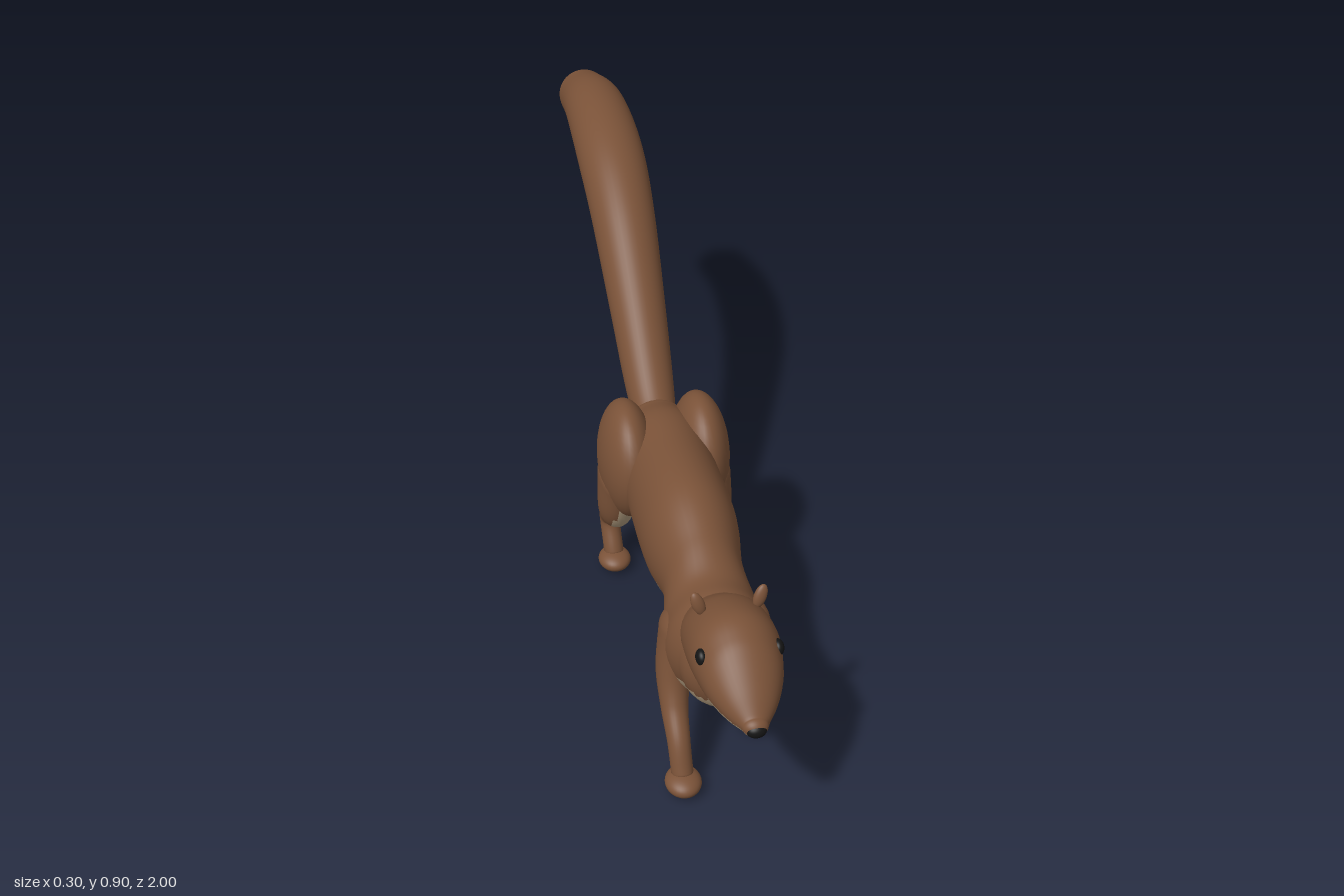
import * as THREE from 'three';

const mat = (name, color) => Object.assign(new THREE.MeshStandardMaterial({ color }), { name });

// Rounded tube through rings [x, y, z, sideRadius, otherRadius] with hemispherical ends.
// A fixed axis keeps the rings parallel; otherwise they follow the path.
function loft(rings, { steps = 48, sides = 40, axis = null, capA = 1, capB = 1 } = {}) {
  const path = new THREE.CatmullRomCurve3(rings.map(r => new THREE.Vector3(r[0], r[1], r[2])), false, 'catmullrom');
  const size = new THREE.CatmullRomCurve3(rings.map(r => new THREE.Vector3(r[3], r[4], 0)), false, 'catmullrom');
  const X = new THREE.Vector3(1, 0, 0);
  const pos = [], idx = [];
  let count = 0;
  const ring = (t, shift, scale) => {
    const T = axis ? axis.clone() : path.getTangent(t);
    const U = T.clone().cross(X).normalize();
    const s = size.getPoint(t);
    const c = path.getPoint(t).addScaledVector(T, shift * Math.min(s.x, s.y));
    for (let j = 0; j < sides; j++) {
      const a = j / sides * Math.PI * 2;
      const p = c.clone()
        .addScaledVector(X, Math.cos(a) * s.x * scale)
        .addScaledVector(U, Math.sin(a) * s.y * scale);
      pos.push(p.x, p.y, p.z);
    }
    count++;
  };
  const capSteps = 9;
  for (let k = 0; k < capSteps; k++) {
    const a = k / capSteps * Math.PI / 2;
    ring(0, -Math.cos(a) * capA, Math.max(Math.sin(a), 0.002));
  }
  for (let i = 0; i <= steps; i++) ring(i / steps, 0, 1);
  for (let k = capSteps - 1; k >= 0; k--) {
    const a = k / capSteps * Math.PI / 2;
    ring(1, Math.cos(a) * capB, Math.max(Math.sin(a), 0.002));
  }
  for (let i = 0; i < count - 1; i++) {
    for (let j = 0; j < sides; j++) {
      const k = (j + 1) % sides;
      const a = i * sides + j, b = i * sides + k, c = a + sides, d = b + sides;
      idx.push(a, b, c, b, d, c);
    }
  }
  const g = new THREE.BufferGeometry();
  g.setAttribute('position', new THREE.Float32BufferAttribute(pos, 3));
  g.setIndex(idx);
  g.computeVertexNormals();
  return g;
}

// Sorts the faces into two material groups: fur (0) and pale underside (1)
function splitUnderside(g, isPale) {
  const p = g.attributes.position, id = g.index.array;
  const fur = [], pale = [], tri = new THREE.Triangle();
  const n = new THREE.Vector3(), m = new THREE.Vector3();
  for (let i = 0; i < id.length; i += 3) {
    tri.setFromAttributeAndIndices(p, id[i], id[i + 1], id[i + 2]);
    tri.getNormal(n);
    tri.getMidpoint(m);
    (isPale(n, m) ? pale : fur).push(id[i], id[i + 1], id[i + 2]);
  }
  g.setIndex([...fur, ...pale]);
  g.addGroup(0, fur.length, 0);
  g.addGroup(fur.length, pale.length, 1);
  return g;
}

export function createModel() {
  const model = new THREE.Group();
  model.name = 'squirrel';
  const fur = mat('brownFur', 0x7a5238);
  const pale = mat('paleUnderside', 0xb09b7e);
  const black = mat('black', 0x141414);

  const add = (name, geometry, material) => {
    const mesh = new THREE.Mesh(geometry, material);
    mesh.name = name;
    model.add(mesh);
    return mesh;
  };
  const addFur = (name, g, isPale) => add(name, splitUnderside(g, isPale), [fur, pale]);
  const ball = (x, y, z, rx, ry, rz) =>
    new THREE.SphereGeometry(1, 32, 24).scale(rx, ry, rz).translate(x, y, z);
  const under = n => n.y < -0.38;

  // Upright sections [z, top, bottom, halfWidth]
  const section = ([z, top, bottom, w]) => [0, (top + bottom) / 2, z, w, (top - bottom) / 2];

  // Torso, from chest to rump
  addFur('torso', loft([
    [0.72, 0.405, 0.185, 0.092], [0.66, 0.415, 0.155, 0.108], [0.6, 0.415, 0.172, 0.1],
    [0.52, 0.45, 0.228, 0.086], [0.39, 0.495, 0.21, 0.104], [0.2, 0.49, 0.225, 0.104],
    [0.1, 0.485, 0.245, 0.1], [0.03, 0.465, 0.27, 0.08],
  ].map(section), { steps: 70, axis: new THREE.Vector3(0, 0, -1), capA: 0.85, capB: 0.65 }), under);

  // Head with tapering muzzle
  addFur('head', loft([
    [0.66, 0.415, 0.255, 0.078], [0.72, 0.456, 0.27, 0.088], [0.8, 0.48, 0.285, 0.091],
    [0.86, 0.466, 0.295, 0.083], [0.9, 0.44, 0.305, 0.072], [0.94, 0.405, 0.315, 0.052],
    [0.975, 0.368, 0.326, 0.026],
  ].map(section), { axis: new THREE.Vector3(0, 0, 1) }), (n, m) => under(n) || (m.z > 0.9 && m.y < 0.338));
  add('nose', ball(0, 0.345, 0.985, 0.02, 0.015, 0.015), black);

  // Tail, arching up and back
  addFur('tail', loft([
    [0, 0.4, 0.03, 0.045, 0.045], [0, 0.45, -0.055, 0.055, 0.056], [0, 0.585, -0.21, 0.065, 0.065],
    [0, 0.728, -0.39, 0.075, 0.073], [0, 0.805, -0.556, 0.08, 0.075], [0, 0.83, -0.757, 0.075, 0.071],
    [0, 0.792, -0.937, 0.064, 0.063],
  ], { steps: 60 }), under);

  for (const s of [1, -1]) {
    const side = s > 0 ? 'left' : 'right';
    const inner = (n, m) => n.y < -0.25 && n.x * s < 0.45 && m.y > 0.09;

    add(side + 'Eye', ball(s * 0.075, 0.416, 0.843, 0.012, 0.017, 0.017), black);
    const ear = add(side + 'Ear', ball(0, 0, 0, 0.013, 0.026, 0.009), fur);
    ear.position.set(s * 0.062, 0.468, 0.748);
    ear.rotation.set(-0.2, 0, -s * 0.35);

    // Haunch
    addFur(side + 'Haunch', ball(s * 0.084, 0.372, 0.1, 0.064, 0.138, 0.124),
      (n, m) => under(n) && n.x * s < 0.1);

    // Legs [x, y, z, widthRadius, depthRadius]; the left pair is mid-stride, the right spread apart
    const front = s > 0
      ? [[0.075, 0.31, 0.62, 0.042, 0.065], [0.09, 0.22, 0.63, 0.038, 0.055], [0.095, 0.16, 0.618, 0.029, 0.036],
        [0.094, 0.1, 0.607, 0.024, 0.024], [0.092, 0.04, 0.605, 0.023, 0.023]]
      : [[0.07, 0.31, 0.62, 0.042, 0.065], [0.085, 0.22, 0.64, 0.038, 0.052], [0.093, 0.155, 0.682, 0.029, 0.032],
        [0.094, 0.1, 0.733, 0.024, 0.024], [0.092, 0.04, 0.76, 0.023, 0.023]];
    const hind = s > 0
      ? [[0.098, 0.33, 0.12, 0.05, 0.09], [0.106, 0.25, 0.143, 0.042, 0.064], [0.106, 0.18, 0.142, 0.032, 0.04],
        [0.102, 0.11, 0.14, 0.025, 0.027], [0.098, 0.04, 0.155, 0.023, 0.023]]
      : [[0.098, 0.33, 0.1, 0.05, 0.09], [0.106, 0.24, 0.085, 0.042, 0.06], [0.105, 0.18, 0.03, 0.032, 0.036],
        [0.103, 0.118, -0.026, 0.024, 0.027], [0.1, 0.04, 0.005, 0.023, 0.023]];
    for (const [name, rings] of [['Front', front], ['Hind', hind]]) {
      const mirrored = rings.map(([x, ...rest]) => [x * s, ...rest]);
      addFur(side + name + 'Leg', loft(mirrored, { steps: 32, sides: 28, capB: 0.6 }), inner);
      const [x, , z] = mirrored[4];
      add(side + name + 'Foot', ball(x, 0.023, z + 0.011, 0.038, 0.023, 0.044), fur);
    }
  }
  return model;
}
